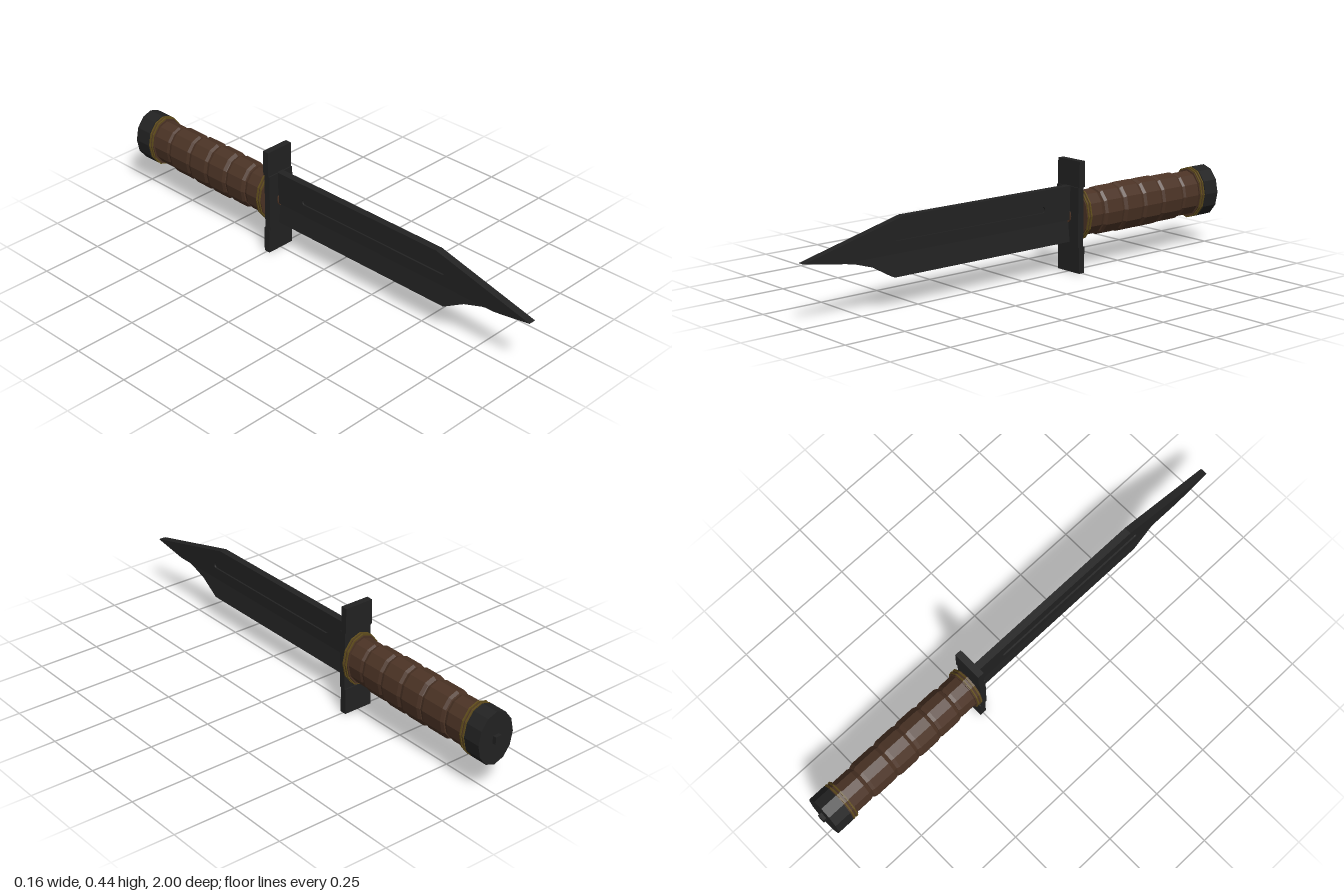
import * as THREE from 'three';

const CY = 0.222;      // height of the handle axis
const FLAT = 0.771;    // width / height of the oval handle section

const mat = (color) => new THREE.MeshStandardMaterial({ color, flatShading: true, side: THREE.DoubleSide });
const steel = mat(0x222222);
const leather = mat(0x4b3325);
const brass = mat(0x5f4c1c);

export function createModel() {
  const group = new THREE.Group();
  const add = (name, geometry, material) => {
    const mesh = new THREE.Mesh(geometry, material);
    mesh.name = name;
    group.add(mesh);
    return mesh;
  };
  const box = (name, w, y0, y1, z0, z1, material = steel) =>
    add(name, new THREE.BoxGeometry(w, y1 - y0, z1 - z0).translate(0, (y0 + y1) / 2, (z0 + z1) / 2), material);

  // Twelve-sided oval turned along z from [radius, z] points, z rising
  const oval = (name, points, material) => {
    const g = new THREE.LatheGeometry(points.map(([r, z]) => new THREE.Vector2(r, z)), 12);
    g.rotateX(Math.PI / 2).scale(FLAT, 1, 1).translate(0, CY, 0);
    return add(name, g, material);
  };
  const disc = (name, r, z0, z1, material) => oval(name, [[0, z0], [r, z0], [r, z1], [0, z1]], material);

  // Side outline given as [z, y], extruded between two x positions
  const outline = (points) => new THREE.Shape(points.map(([z, y]) => new THREE.Vector2(z, y)));
  const plate = (shape, x0, x1) =>
    new THREE.ExtrudeGeometry(shape, { depth: x1 - x0, bevelEnabled: false, curveSegments: 6 })
      .rotateY(-Math.PI / 2).translate(x1, 0, 0);

  // Blade spine: thin core between two cheeks pierced by the fuller
  const spine = [[-0.25, 0.207], [0.84, 0.207], [1, 0.232], [0.57, 0.34], [-0.25, 0.34]];
  const cheek = outline(spine);
  const fuller = new THREE.Path();
  fuller.moveTo(-0.09, 0.277);
  fuller.absarc(-0.09, 0.265, 0.012, Math.PI / 2, Math.PI * 1.5, false);
  fuller.absarc(0.6, 0.265, 0.012, -Math.PI / 2, Math.PI / 2, false);
  fuller.closePath();
  cheek.holes.push(fuller);
  add('bladeCore', plate(outline(spine), -0.008, 0.008), steel);
  add('bladeCheekLeft', plate(cheek, 0.008, 0.015), steel);
  add('bladeCheekRight', plate(cheek, -0.015, -0.008), steel);

  // Cutting side: narrow under the spine, widening towards the lower edge
  const edge = plate(outline([[-0.25, 0.209], [-0.25, 0.12], [0.61, 0.12], [0.7, 0.17],
    [0.78, 0.195], [0.86, 0.209]]), -1, 1);
  const p = edge.attributes.position;
  for (let i = 0; i < p.count; i++) {
    p.setX(i, p.getX(i) * (0.003 + (0.209 - p.getY(i)) * 0.115));
  }
  edge.computeVertexNormals();
  add('bladeEdge', edge, steel);

  // Cross guard with a middle block set slightly forward
  box('guardMiddle', 0.122, 0.104, 0.338, -0.257, -0.23);
  box('guardTop', 0.122, 0.338, 0.44, -0.263, -0.236);
  box('guardBottom', 0.122, 0, 0.104, -0.263, -0.236);
  disc('bladeCollar', 0.028, -0.25, -0.226, leather);

  // Grip of bulging leather segments, listed from pommel to guard
  const bounds = [-0.9, -0.8, -0.68, -0.575, -0.47, -0.365, -0.262];
  const radii = [0.091, 0.097, 0.1, 0.1, 0.097, 0.091];
  const grip = [];
  radii.forEach((r, i) => {
    const a = bounds[i], b = bounds[i + 1];
    grip.push([r - 0.006, a + 0.001], [r, a + 0.014], [r, b - 0.014], [r - 0.006, b - 0.001]);
  });
  oval('grip', grip, leather);

  // Washers with brass rims at both ends of the grip
  for (const z of [-0.277, -0.9]) {
    disc('washer', 0.099, z - 0.014, z + 0.014, leather);
    for (const s of [-0.007, 0.007]) disc('brassRing', 0.105, z + s - 0.003, z + s + 0.003, brass);
  }

  // Pommel and the nut on its end
  disc('pommel', 0.105, -0.985, -0.914, steel);
  box('pommelNut', 0.028, CY - 0.015, CY + 0.015, -1, -0.98);

  return group;
}
